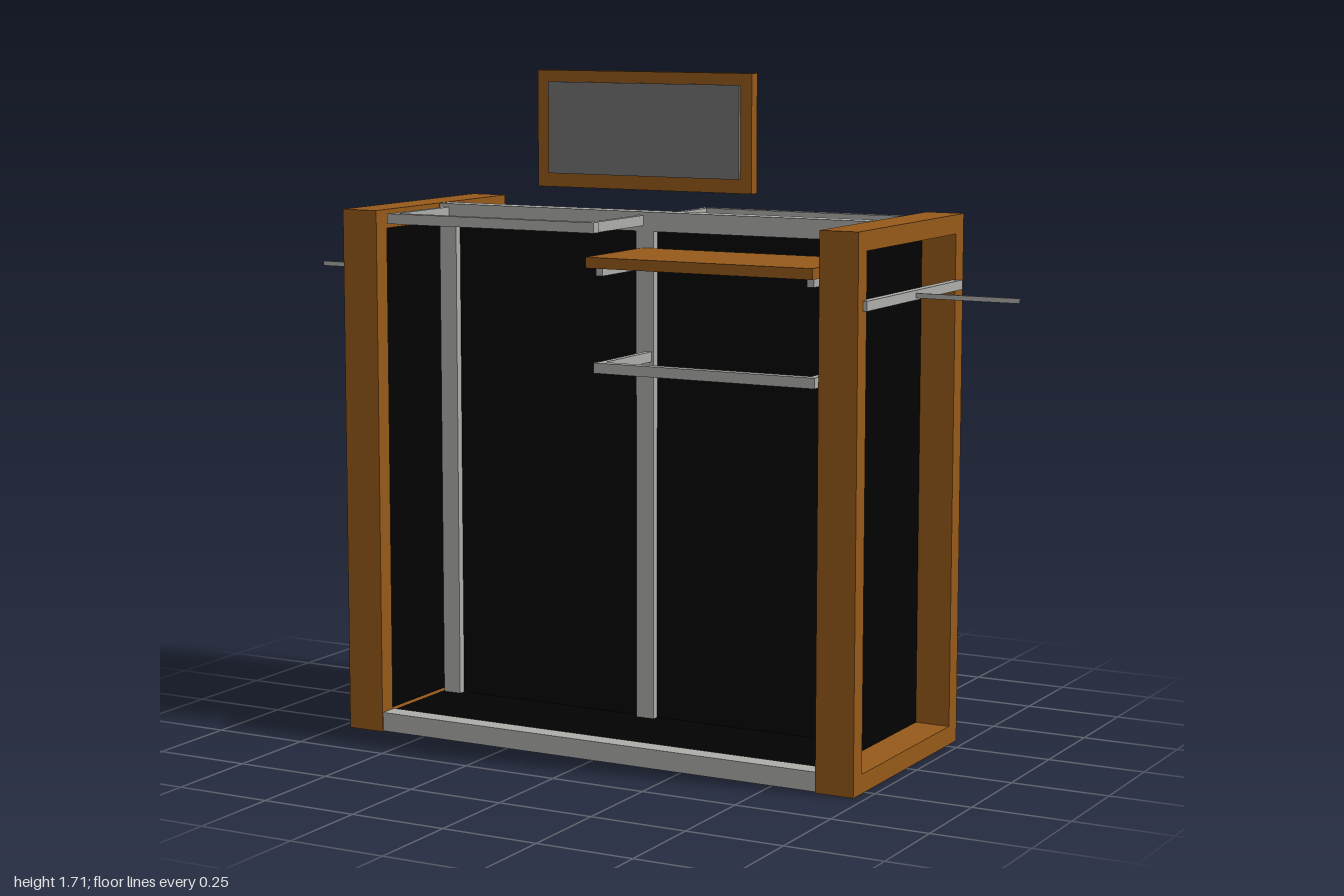
import * as THREE from 'three';

const material = (name, color) => {
  const m = new THREE.MeshStandardMaterial({ color });
  m.name = name;
  return m;
};

export function createModel() {
  const wood = material('wood', 0x965a1a);
  const steel = material('steel', 0xadadaa);
  const black = material('blackPanel', 0x020202);
  const grey = material('greyPanel', 0x737373);

  const model = new THREE.Group();
  model.name = 'displayRack';

  // Box given by its min and max on each axis
  const box = (parent, name, mat, [x0, x1], [y0, y1], [z0, z1]) => {
    const mesh = new THREE.Mesh(new THREE.BoxGeometry(x1 - x0, y1 - y0, z1 - z0), mat);
    mesh.position.set((x0 + x1) / 2, (y0 + y1) / 2, (z0 + z1) / 2);
    mesh.name = name;
    parent.add(mesh);
    return mesh;
  };

  const H = 1.355;   // rack height
  const D = 0.314;   // half depth
  const B = 0.048;   // border of the end frames

  // Upright wooden end frames with panel, cross rail and side arm
  for (const side of [1, -1]) {
    const end = new THREE.Group();
    end.name = side > 0 ? 'leftEnd' : 'rightEnd';

    const outline = new THREE.Shape();
    outline.moveTo(-D, 0).lineTo(D, 0).lineTo(D, H).lineTo(-D, H).closePath();
    const opening = new THREE.Path();
    const i = D - B;
    opening.moveTo(-i, B).lineTo(-i, H - B).lineTo(i, H - B).lineTo(i, B).closePath();
    outline.holes.push(opening);
    const geo = new THREE.ExtrudeGeometry(outline, { depth: 0.101, bevelEnabled: false });
    geo.rotateY(Math.PI / 2);
    geo.translate(0.621, 0, 0);
    const frame = new THREE.Mesh(geo, wood);
    frame.name = 'endFrame';
    end.add(frame);

    // The panel sits close to the inner side, leaving a deep outer recess
    const px = side > 0 ? 0.625 : 0.638;
    box(end, 'endPanel', black, [px, px + 0.005], [B - 0.005, H - B + 0.005], [-i - 0.005, i + 0.005]);
    box(end, 'endRail', steel, [0.712, 0.733], [1.167, 1.191], [-0.287, 0.287]);
    box(end, 'sideArm', steel, [0.72, 1], [1.172, 1.184], [-0.003, 0.003]);

    if (side < 0) end.rotation.y = Math.PI;
    model.add(end);
  }

  // Central steel frame with its dividing panel
  const core = new THREE.Group();
  core.name = 'coreFrame';
  model.add(core);
  for (const x of [-0.59, -0.003, 0.588]) {
    box(core, 'post', steel, [x - 0.025, x + 0.025], [0.04, H - 0.049], [-0.025, 0.025]);
  }
  box(core, 'topBeam', steel, [-0.615, 0.613], [H - 0.049, H], [-0.025, 0.025]);
  box(core, 'dividingPanel', black, [-0.57, 0.57], [0.04, H - 0.047], [-0.005, 0.005]);

  // Base: steel rims with a black floor slab filling the space between them
  const base = new THREE.Group();
  base.name = 'base';
  model.add(base);
  for (const s of [1, -1]) {
    const z = [s * 0.26, s * 0.311].sort((a, b) => a - b);
    box(base, 'baseRim', steel, [-0.621, 0.621], [0.002, 0.051], z);
  }
  box(base, 'floor', black, [-0.621, 0.621], [0.004, 0.048], [-0.262, 0.262]);

  // U-shaped hanging rail reaching forward from the core
  const hangRail = (parent, name, x0, x1, y) => {
    const rail = new THREE.Group();
    rail.name = name;
    const h = [y - 0.013, y + 0.013];
    box(rail, 'bar', steel, [x0, x1], h, [0.262, 0.287]);
    box(rail, 'arm', steel, [x0 + 0.004, x0 + 0.02], h, [0.02, 0.264]);
    box(rail, 'arm', steel, [x1 - 0.02, x1 - 0.004], h, [0.02, 0.264]);
    parent.add(rail);
  };

  // Fittings are the same on both faces, turned half a circle
  for (const face of ['front', 'back']) {
    const fit = new THREE.Group();
    fit.name = face + 'Fittings';
    if (face === 'back') fit.rotation.y = Math.PI;
    hangRail(fit, 'highRail', -0.606, -0.003, 1.333);
    hangRail(fit, 'lowRail', -0.004, 0.598, 0.988);
    box(fit, 'shelf', wood, [-0.01, 0.604], [1.237, 1.264], [0.025, 0.315]);
    for (const x of [0.012, 0.585]) {
      box(fit, 'shelfBracket', steel, [x - 0.009, x + 0.009], [1.216, 1.237], [0.02, 0.285]);
    }
    model.add(fit);
  }

  // Header board above the rack
  const header = new THREE.Group();
  header.name = 'header';
  box(header, 'headerBoard', wood, [-0.32, 0.292], [1.409, 1.706], [-0.015, 0.015]);
  for (const z of [[0.015, 0.0245], [-0.0245, -0.015]]) {
    box(header, 'headerPanel', grey, [-0.284, 0.261], [1.444, 1.677], z);
  }
  model.add(header);

  return model;
}
